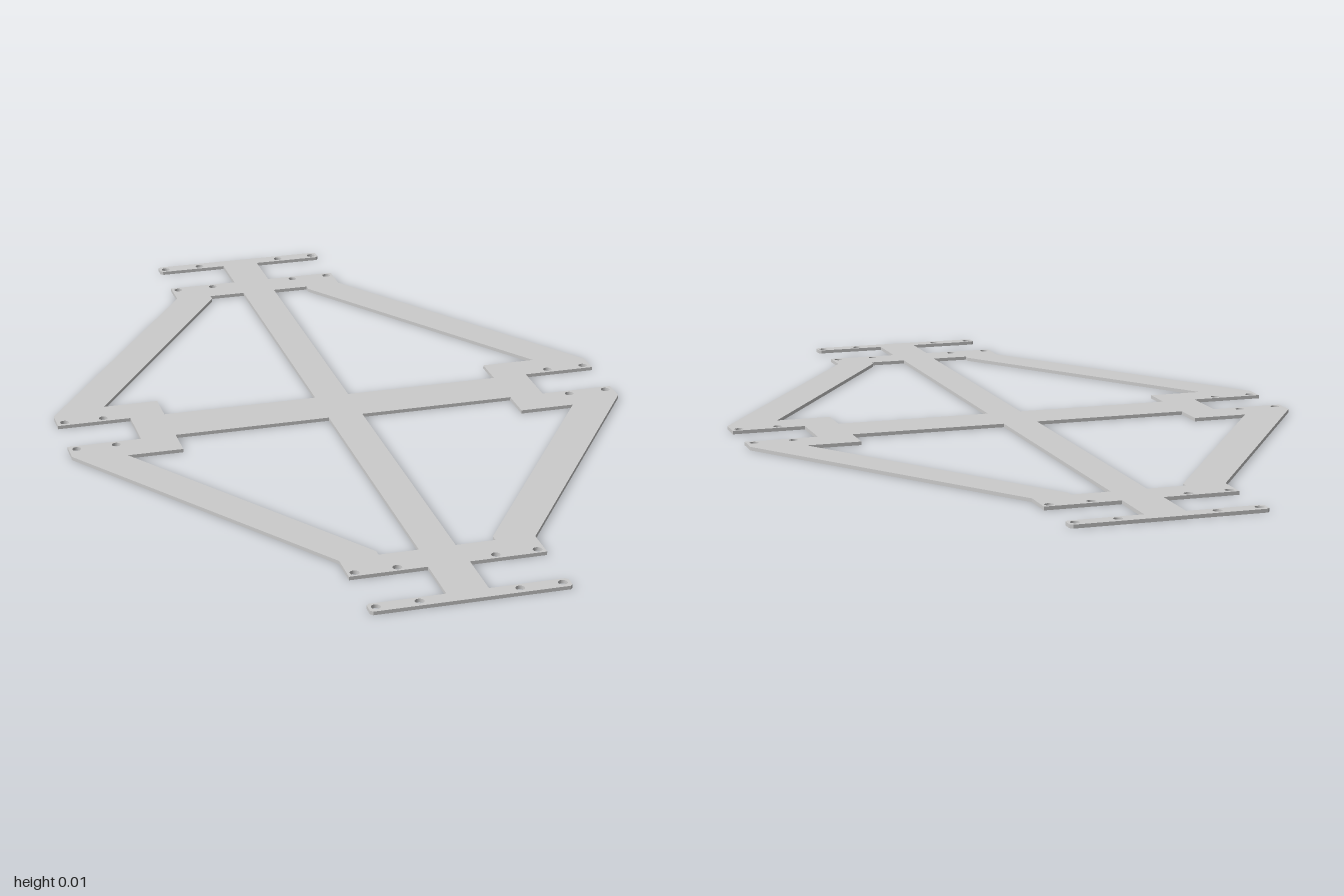
import * as THREE from 'three';

const THICKNESS = 0.008;
const QUADRANTS = [[1, 1], [-1, 1], [-1, -1], [1, -1]];

// One quarter of the outer edge, from the side notch round to the end bar
const OUTLINE = [
  [0.48, 0.06], [0.648, 0.06], [0.648, 0.115], [0.213, 0.768], [0.213, 0.842],
  [0.045, 0.842], [0.045, 0.965], [0.207, 0.965], [0.213, 0.971], [0.213, 0.994], [0.207, 1],
];

// Opening between spine, cross arm and diagonal strut
const WINDOW = [
  [0.04, 0.06], [0.4, 0.06], [0.4, 0.14], [0.526, 0.14],
  [0.127, 0.745], [0.127, 0.762], [0.04, 0.762],
];

// Bolt hole centres in one quarter
const BOLTS = [[0.54, 0.076], [0.63, 0.076], [0.106, 0.827], [0.197, 0.827], [0.106, 0.981], [0.197, 0.981]];
const BOLT_RADIUS = 0.01;

const mirror = (points, [sx, sy]) => points.map(([x, y]) => new THREE.Vector2(x * sx, y * sy));

export function createModel() {
  const group = new THREE.Group();
  group.name = 'framePlate';

  // Outer edge: alternate quarters run backwards so the loop stays continuous
  const edge = QUADRANTS.flatMap((q, i) => {
    const quarter = mirror(OUTLINE, q);
    return i % 2 ? quarter.reverse() : quarter;
  });
  const shape = new THREE.Shape(edge);

  // Windows and bolt holes in every quarter
  for (const q of QUADRANTS) {
    shape.holes.push(new THREE.Path(mirror(WINDOW, q)));
    for (const c of mirror(BOLTS, q)) {
      shape.holes.push(new THREE.Path().absarc(c.x, c.y, BOLT_RADIUS, 0, Math.PI * 2));
    }
  }

  // Flat plate lying on the ground
  const geometry = new THREE.ExtrudeGeometry(shape, { depth: THICKNESS, bevelEnabled: false, curveSegments: 16 });
  geometry.rotateX(-Math.PI / 2);
  const plate = new THREE.Mesh(geometry, new THREE.MeshStandardMaterial({ color: 0xcccccc }));
  plate.name = 'plate';
  group.add(plate);
  return group;
}
